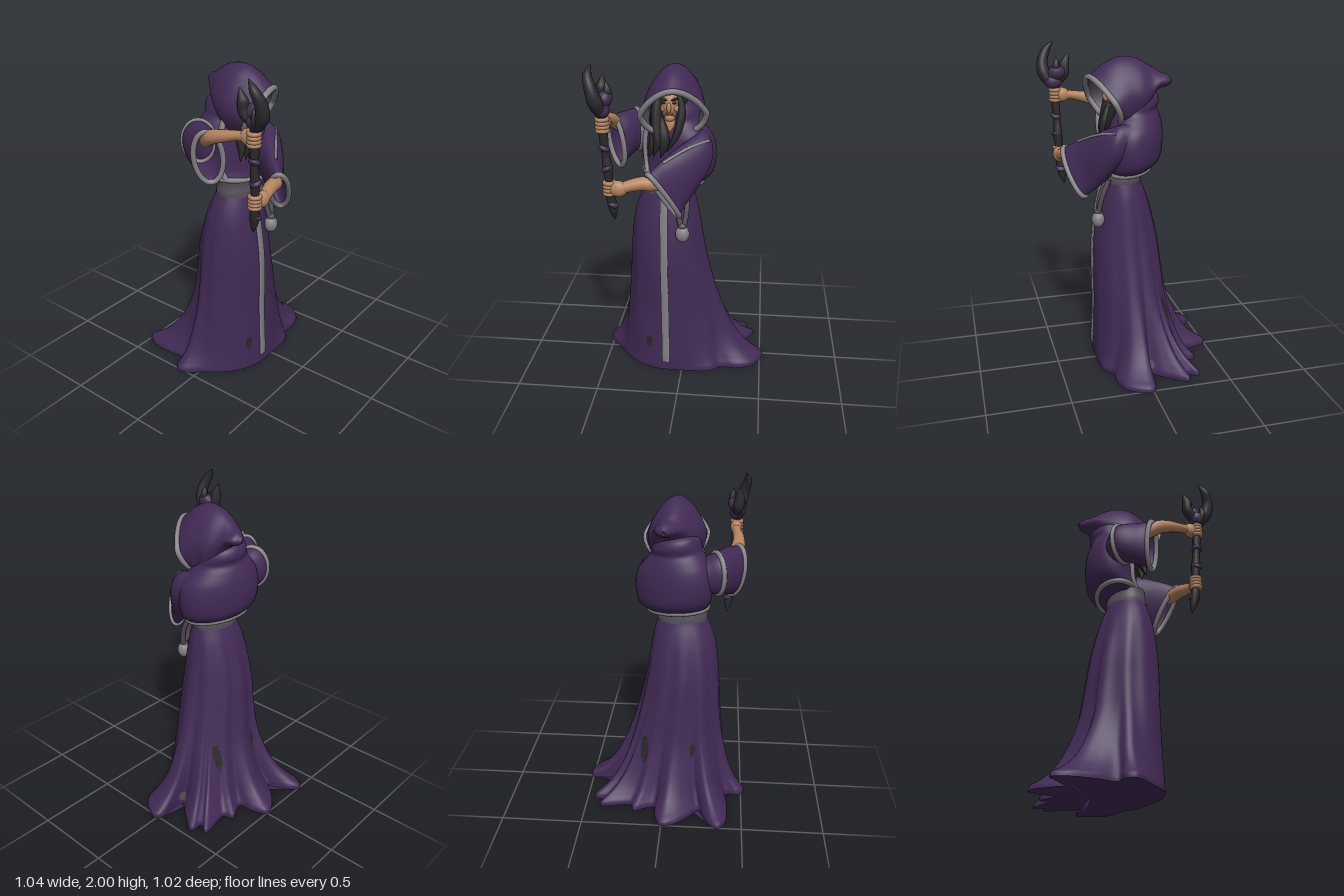
import * as THREE from 'three';

const V = (x, y, z) => new THREE.Vector3(x, y, z);
const mat = (name, color, side = THREE.FrontSide) => {
  const m = new THREE.MeshStandardMaterial({ color, side });
  m.name = name;
  return m;
};

export function createModel() {
  const group = new THREE.Group();
  const robe = mat('purple cloth', 0x422a55, THREE.DoubleSide);
  const trim = mat('grey trim', 0x858287, THREE.DoubleSide);
  const belting = mat('dark grey belt', 0x544d58, THREE.DoubleSide);
  const skin = mat('skin', 0xb58460, THREE.DoubleSide);
  const black = mat('black hair', 0x272628, THREE.DoubleSide);
  const wood = mat('staff wood', 0x2b292c, THREE.DoubleSide);
  const knot = mat('staff purple', 0x402f50, THREE.DoubleSide);
  const lip = mat('lips', 0x8a5644);

  const add = (name, geo, material, parent = group) => {
    const m = new THREE.Mesh(geo, material);
    m.name = name;
    parent.add(m);
    return m;
  };

  // Smooth skin through closed rings of equal point count
  function loft(rings, rows, capped = false) {
    const n = rings[0].length, pos = [], idx = [];
    const columns = rings[0].map((_, j) => new THREE.CatmullRomCurve3(rings.map(r => r[j])));
    for (let i = 0; i <= rows; i++)
      for (let j = 0; j < n; j++) pos.push(...columns[j].getPoint(i / rows).toArray());
    for (let i = 0; i < rows; i++)
      for (let j = 0; j < n; j++) {
        const a = i * n + j, b = i * n + (j + 1) % n;
        idx.push(a, a + n, b, b, a + n, b + n);
      }
    if (capped) for (const [row, flip] of [[0, 0], [rows, 1]]) {
      const c = V(0, 0, 0), o = pos.length / 3;
      for (let j = 0; j < n; j++) c.add(V(...pos.slice((row * n + j) * 3, (row * n + j) * 3 + 3)));
      for (let j = 0; j < n; j++) pos.push(...pos.slice((row * n + j) * 3, (row * n + j) * 3 + 3));
      pos.push(...c.divideScalar(n).toArray());
      for (let j = 0; j < n; j++) {
        const a = o + j, b = o + (j + 1) % n;
        idx.push(...(flip ? [a, o + n, b] : [a, b, o + n]));
      }
    }
    const g = new THREE.BufferGeometry();
    g.setAttribute('position', new THREE.Float32BufferAttribute(pos, 3));
    g.setIndex(idx);
    g.computeVertexNormals();
    return g;
  }
  // Ellipse with half axes a and b; pinch narrows its upper half into an arch
  const ring = (c, a, b, pinch = 0, n = 32) => Array.from({ length: n }, (_, i) => {
    const t = i / n * Math.PI * 2, s = Math.sin(t);
    return c.clone().addScaledVector(a, Math.cos(t) * (1 - pinch * Math.max(0, s))).addScaledVector(b, s);
  });
  // Tube with a radius at each path point
  function limb(points, radii, n = 12) {
    const curve = new THREE.CatmullRomCurve3(points.map(p => V(...p))), k = points.length - 1;
    const f = curve.computeFrenetFrames(k);
    return loft(points.map((p, i) => ring(V(...p),
      f.normals[i].clone().multiplyScalar(radii[i]), f.binormals[i].clone().multiplyScalar(radii[i]), 0, n)), k * 6, true);
  }
  const cord = (pts, r, closed = false) =>
    new THREE.TubeGeometry(new THREE.CatmullRomCurve3(pts, closed), 64, r, 8, closed);
  const ball = (name, p, s, material, parent) => {
    const m = add(name, new THREE.SphereGeometry(1, 24, 16), material, parent);
    m.position.set(...p);
    m.scale.set(...s);
    return m;
  };

  // Skirt: elliptical core flaring into a lobed hem
  const hem = new THREE.CatmullRomCurve3([
    [.52, .01], [.45, .15], [.35, .19], [.25, .19], [.18, .24], [.08, .25], [-.02, .25], [-.1, .25], [-.17, .24],
    [-.28, .19], [-.36, .12], [-.42, .04], [-.47, -.02], [-.52, -.1], [-.49, -.15], [-.405, -.15], [-.41, -.3],
    [-.4, -.44], [-.35, -.51], [-.3, -.47], [-.25, -.38], [-.23, -.33], [-.17, -.4], [-.08, -.48], [0, -.505],
    [.045, -.42], [.06, -.32], [.12, -.34], [.19, -.37], [.21, -.31], [.3, -.32], [.41, -.33], [.37, -.26],
    [.455, -.25], [.38, -.13], [.3, -.02], [.4, -.015], [.49, -.02],
  ].map(([x, z]) => V(x, 0, z)), true).getSpacedPoints(180).slice(0, 180);
  // Angle of each hem point, averaged over its neighbours so that folds stay soft
  const raw = hem.map(p => Math.atan2(p.z - .05, p.x + .05));
  raw.forEach((a, j) => { if (j && a < raw[j - 1] - Math.PI) raw[j] += Math.PI * 2; });
  const angles = raw.map((_, j) => {
    let sum = 0;
    for (let k = j - 7; k <= j + 7; k++) sum += raw[(k + 180) % 180] + Math.floor(k / 180) * Math.PI * 2;
    return sum / 15;
  });
  // height, x min, x max, z min, z max, flare
  const core = [
    [0, -.38, .24, -.22, .25, 1], [.025, -.38, .24, -.22, .25, .98], [.06, -.38, .24, -.22, .25, .8],
    [.11, -.375, .235, -.22, .25, .59], [.2, -.37, .23, -.22, .245, .36], [.4, -.355, .2, -.2, .24, .13],
    [.6, -.34, .16, -.19, .24, .05], [.8, -.33, .12, -.17, .235, .03], [1, -.31, .095, -.13, .21, .01],
    [1.1, -.285, .08, -.1, .19, 0], [1.2, -.24, .05, -.06, .165, 0], [1.26, -.21, .03, -.05, .15, 0]];
  const skirt = loft(core.map(([y, x0, x1, z0, z1, f]) => hem.map((p, j) => {
    const t = angles[j];
    const fold = 1 + .015 * Math.sin(t * 11) * (1 - .7 * Math.sin(t)) * Math.min(1, Math.max(0, (1.2 - y) * 2));
    const q = V((x0 + x1) / 2 + (x1 - x0) / 2 * Math.cos(t) * fold, y, (z0 + z1) / 2 + (z1 - z0) / 2 * Math.sin(t) * fold);
    return q.lerp(V(p.x, y, p.z), f);
  })), 66, true);
  // Worn patches: faces inside small ellipsoids (centre, radii, material)
  const patches = [[[-.21, .19, .2], [.016, .05, .1], 1], [[.13, .36, -.2], [.025, .09, .1], 1],
    [[-.18, .37, -.17], [.018, .05, .08], 1], [[.3, .06, -.03], [.03, .03, .035], 2]];
  const faces = [[], [], []], at = skirt.attributes.position;
  for (let i = 0; i < skirt.index.count; i += 3) {
    const tri = [0, 1, 2].map(k => skirt.index.getX(i + k));
    const c = tri.reduce((s, v) => s.add(V(at.getX(v), at.getY(v), at.getZ(v))), V(0, 0, 0)).divideScalar(3);
    const hit = c.y > .005 && patches.find(([p, r]) => c.clone().sub(V(...p)).divide(V(...r)).length() < 1);
    faces[hit ? hit[2] : 0].push(...tri);
  }
  skirt.setIndex(faces.flat());
  faces.reduce((start, f, k) => (skirt.addGroup(start, f.length, k), start + f.length), 0);
  add('skirt', skirt, [robe, black, belting]);

  // Front band down the skirt
  add('skirtBand', loft(core.filter(r => r[0] > .03 && r[0] < 1.22).map(([y, , , , z]) => {
    const x = -.1 - .01 * y;
    return [V(x - .024, y, z - .02), V(x - .022, y, z + .008), V(x + .022, y, z + .008), V(x + .024, y, z - .02)];
  }), 40, true), trim);

  // Belt and hanging pouch
  add('belt', loft([[1.18, .157, .122], [1.205, .158, .12], [1.24, .15, .115], [1.275, .15, .115]].map(([y, a, b]) =>
    ring(V(-.093, y, .052), V(a, 0, 0), V(0, 0, b))), 12), belting);
  for (const x of [-.022, .026])
    add('pouchCord', cord([V(x, 1.21, .155), V(x * 1.1, 1.1, .2), V(.005 + x * .3, .99, .222)], .016), belting);
  ball('pouch', [.005, .955, .222], [.043, .052, .04], trim);
  ball('pouchNeck', [.005, 1.005, .222], [.025, .022, .025], belting);

  // Mantle over the turned shoulders, gathered into a cowl at the neck
  const mantle = [[1.235, -.09, .03, .14, .1], [1.265, -.07, .01, .19, .135], [1.32, -.05, -.02, .232, .158],
    [1.42, -.045, -.03, .25, .165], [1.52, -.045, -.03, .235, .16], [1.59, -.055, -.03, .19, .145],
    [1.63, -.06, -.03, .16, .132], [1.67, -.06, -.035, .15, .14], [1.71, -.06, -.04, .135, .125],
    [1.74, -.06, -.04, .1, .09]].map(([y, x, z, a, b]) =>
    ring(V(x, y, z), V(.9, -.12, .43).multiplyScalar(a), V(-.43, 0, .9).multiplyScalar(b), 0, 48));
  add('mantle', loft(mantle, 45, true), robe);
  add('mantleHem', cord(mantle[1], .016, true), trim);
  add('chestTrim', cord(mantle.slice(1, 7).map(r => r[17]), .018), trim);

  // Sleeves with trimmed cuffs
  const sleeves = {
    left: [[[.09, 1.46, .02], [.08, 0, .05], [0, .11, 0]], [[.1, 1.43, .11], [.075, 0, .04], [0, .125, 0]],
      [[.03, 1.36, .195], [.065, 0, .047], [-.03, .14, .02]], [[-.045, 1.29, .28], [.04, 0, .042], [-.06, .145, .03]],
      [[-.09, 1.245, .345], [.033, 0, .043], [-.08, .14, .045]]],
    right: [[[-.2, 1.5, -.08], [.05, 0, .08], [0, .1, 0]], [[-.3, 1.515, -.075], [.045, 0, .085], [0, .125, 0]],
      [[-.365, 1.5, .02], [.06, 0, .07], [0, .145, 0]], [[-.405, 1.485, .08], [.055, 0, .06], [-.02, .155, 0]]],
  };
  for (const [side, data] of Object.entries(sleeves)) {
    const rings = data.map(r => ring(...r.map(p => V(...p))));
    add(side + 'Sleeve', loft(rings, 24), robe);
    add(side + 'Cuff', cord(rings[rings.length - 1], .016, true), trim);
    // Edge of the mantle where it meets the sleeve
    if (side === 'right') add('rightMantleEdge', cord(rings[1], .015, true), trim);
    else add('leftMantleEdge', cord([rings[1][4], rings[2][6], rings[3][7]], .009), trim);
  }

  // Arms
  add('leftForearm', limb([[-.1, 1.305, .34], [-.16, 1.32, .36], [-.22, 1.325, .375], [-.3, 1.31, .395], [-.34, 1.3, .4]],
    [.028, .042, .04, .034, .034]), skin);
  add('rightForearm', limb([[-.39, 1.57, .05], [-.42, 1.62, .12], [-.425, 1.645, .2], [-.415, 1.665, .29], [-.41, 1.67, .34]],
    [.035, .042, .036, .028, .03]), skin);
  // Hands: palm and four curled fingers round the staff
  for (const [name, p, palm, size] of [
    ['leftHand', [-.39, 1.3, .39], [.05, 0, .012], [.055, .048, .036]],
    ['rightHand', [-.415, 1.67, .4], [.005, 0, -.04], [.036, .047, .05]]]) {
    const hand = new THREE.Group();
    hand.name = name;
    hand.position.set(...p);
    group.add(hand);
    ball('palm', palm, size, skin, hand);
    for (let i = 0; i < 4; i++) {
      const finger = add('finger', new THREE.TorusGeometry(.028, .0135, 8, 20), skin, hand);
      finger.rotation.x = Math.PI / 2;
      finger.position.y = (i - 1.5) * .021;
    }
  }

  // Staff: gnarled shaft, knots and clawed head
  add('staffShaft', limb([[-.37, 1.1, .365], [-.375, 1.15, .375], [-.385, 1.23, .385], [-.39, 1.32, .39], [-.395, 1.42, .395],
    [-.405, 1.5, .395], [-.41, 1.6, .4], [-.415, 1.7, .405], [-.415, 1.8, .405]],
    [.004, .022, .028, .022, .029, .023, .026, .027, .036]), wood);
  for (const [i, [x, y, z]] of [[-.375, 1.2, .385], [-.4, 1.42, .4], [-.41, 1.54, .4], [-.415, 1.76, .41], [-.4, 1.81, .39]].entries())
    ball('staffKnot', [x, y, z], i > 2 ? [.043, .052, .055] : [.034, .02, .034], knot).rotation.z = .5 * (i % 2 ? 1 : -1);
  for (const [pts, radii] of [
    [[[-.415, 1.74, .42], [-.435, 1.81, .465], [-.455, 1.88, .47], [-.475, 1.95, .44], [-.465, 2, .4]], [.034, .04, .034, .025, .003]],
    [[[-.415, 1.75, .39], [-.42, 1.81, .34], [-.425, 1.87, .333], [-.42, 1.93, .31]], [.028, .035, .03, .003]],
    [[[-.41, 1.76, .4], [-.385, 1.83, .395], [-.38, 1.87, .395], [-.39, 1.91, .39]], [.025, .026, .02, .002]],
    [[[-.43, 1.73, .41], [-.45, 1.79, .43], [-.45, 1.85, .42]], [.02, .022, .002]]])
    add('staffClaw', limb(pts, radii), wood);

  // Hood drawn back into a drooping tip, with a lining behind the rim
  const hood = [[[-.05, 1.68, .175], [.185, 0, -.045], [0, .145, .075]], [[-.055, 1.71, .09], [.178, 0, -.02], [0, .2, .055]],
    [[-.06, 1.73, .03], [.172, 0, -.01], [0, .21, .03]], [[-.05, 1.735, -.04], [.155, 0, 0], [0, .19, 0]],
    [[-.04, 1.75, -.1], [.12, 0, 0], [0, .13, -.02]], [[-.02, 1.793, -.16], [.08, 0, 0], [0, .054, -.01]],
    [[0, 1.798, -.21], [.048, 0, 0], [0, .036, 0]], [[0, 1.795, -.243], [.01, 0, 0], [0, .012, 0]]]
    .map(r => r.map(p => V(...p)));
  const hoodRings = hood.map(([c, a, b]) => ring(c, a, b, .3));
  add('hood', loft(hoodRings, 42), robe);
  add('hoodTrim', cord(hoodRings[0], .018, true), trim);
  add('hoodLining', loft(hood.slice(0, 3).map(([c, a, b]) =>
    ring(c, a.clone().multiplyScalar(.95), b.clone().multiplyScalar(.95), .3)), 12), belting);

  // Face set deep inside the hood
  const head = new THREE.Group();
  head.name = 'head';
  head.position.set(-.08, 0, -.05);
  group.add(head);
  ball('hairMass', [0, 1.72, .06], [.1, .13, .1], black, head);
  ball('neck', [0, 1.59, .13], [.045, .07, .045], skin, head);
  ball('face', [0, 1.715, .115], [.062, .1, .075], skin, head);
  ball('chin', [0, 1.64, .15], [.032, .028, .03], skin, head);
  ball('nose', [0, 1.705, .195], [.013, .032, .02], skin, head);
  ball('mouth', [0, 1.668, .178], [.026, .007, .008], lip, head);
  for (const s of [-1, 1]) {
    ball('cheek', [s * .035, 1.695, .16], [.022, .022, .02], skin, head);
    ball('eye', [s * .028, 1.733, .178], [.016, .009, .008], black, head);
    ball('brow', [s * .03, 1.752, .178], [.024, .007, .012], black, head).rotation.z = s * .3;
  }
  // Long strands of hair
  for (const [pts, r] of [
    [[[-.14, 1.8, .09], [-.155, 1.7, .11], [-.155, 1.6, .13], [-.145, 1.5, .155], [-.17, 1.42, .16]], .03],
    [[[-.15, 1.78, .07], [-.175, 1.66, .09], [-.175, 1.56, .115], [-.18, 1.47, .14], [-.2, 1.41, .145]], .024],
    [[[-.04, 1.8, .09], [-.012, 1.71, .1], [-.015, 1.63, .12], [-.04, 1.54, .14], [-.09, 1.45, .155]], .022],
    [[[-.14, 1.66, .11], [-.12, 1.58, .13], [-.11, 1.53, .145], [-.11, 1.48, .155], [-.13, 1.41, .155]], .03]])
    add('hairStrand', limb(pts, [.5, 1, 1.1, .9, .1].map(k => k * r)), black);

  return group;
}
